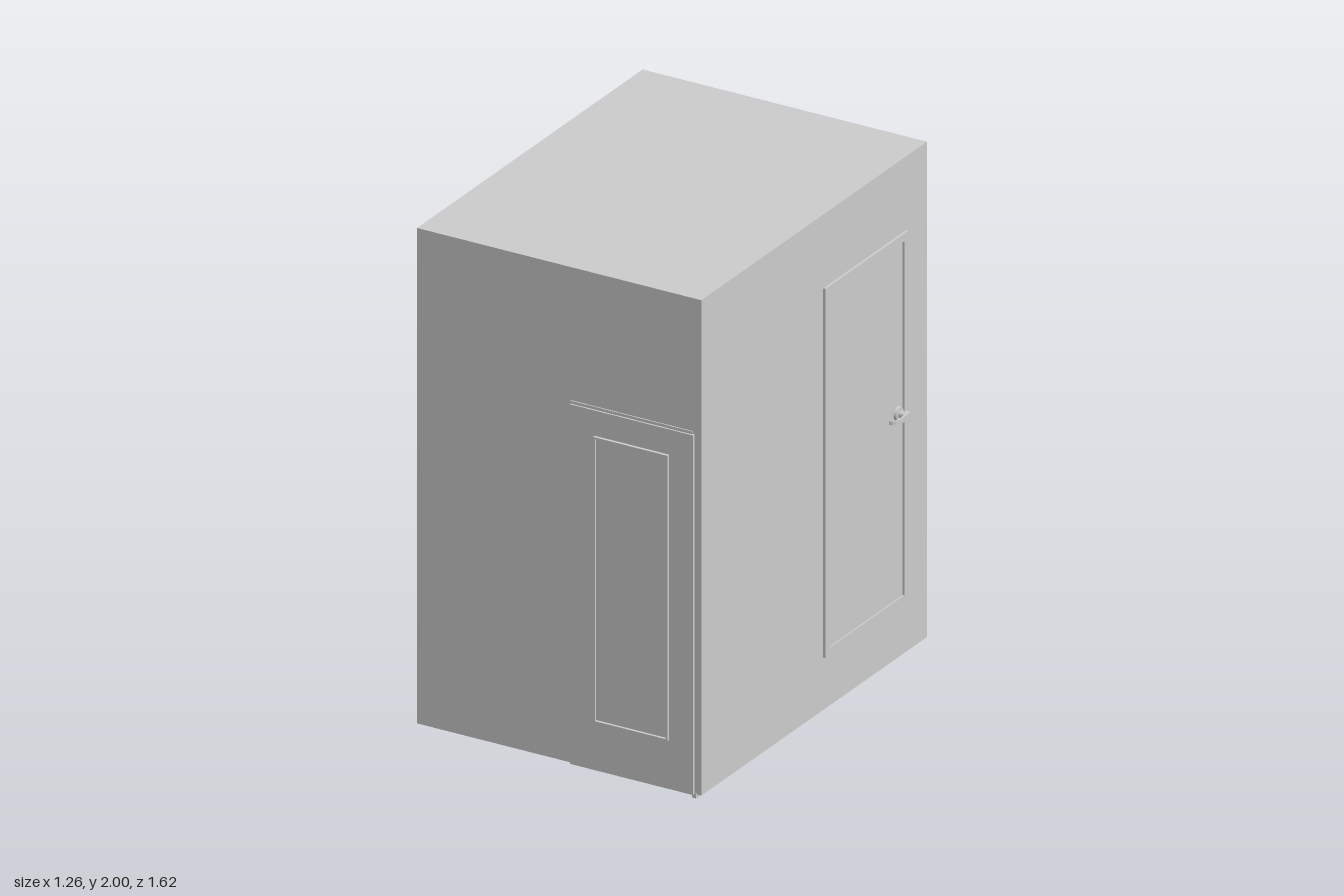
import * as THREE from 'three';

const material = new THREE.MeshStandardMaterial({ color: 0xcccccc });

function add(parent, name, geometry) {
  const mesh = new THREE.Mesh(geometry, material);
  mesh.name = name;
  parent.add(mesh);
  return mesh;
}

// Box given by its lower and upper corners
function box(parent, name, [x0, y0, z0], [x1, y1, z1]) {
  const mesh = add(parent, name, new THREE.BoxGeometry(x1 - x0, y1 - y0, z1 - z0));
  mesh.position.set((x0 + x1) / 2, (y0 + y1) / 2, (z0 + z1) / 2);
  return mesh;
}

// Centred rectangle outline with optional rounded corners
function outline(Type, w, h, r = 0) {
  const s = new Type();
  const x = w / 2, y = h / 2;
  if (!r) return s.setFromPoints([[-x, -y], [x, -y], [x, y], [-x, y]].map(p => new THREE.Vector2(...p)));
  s.absarc(x - r, y - r, r, 0, Math.PI / 2);
  s.absarc(-x + r, y - r, r, Math.PI / 2, Math.PI);
  s.absarc(-x + r, -y + r, r, Math.PI, Math.PI * 1.5);
  s.absarc(x - r, -y + r, r, Math.PI * 1.5, Math.PI * 2);
  s.closePath();
  return s;
}

// Rectangular ring in the xy plane, extruded along +z
function frame(w, h, border, depth) {
  const s = outline(THREE.Shape, w, h);
  s.holes.push(outline(THREE.Path, w - 2 * border, h - 2 * border));
  return new THREE.ExtrudeGeometry(s, { depth, bevelEnabled: false });
}

function plate(w, h, r, depth) {
  return new THREE.ExtrudeGeometry(outline(THREE.Shape, w, h, r), { depth, bevelEnabled: false, curveSegments: 8 });
}

export function createModel() {
  const model = new THREE.Group();
  model.name = 'cabin';

  // Shell with a shallow rim under the floor
  box(model, 'body', [-0.63, 0.025, -0.802], [0.575, 2, 0.788]);
  const rim = add(model, 'floorRim', frame(1.205, 1.59, 0.02, 0.01));
  rim.rotation.x = -Math.PI / 2;
  rim.position.set(-0.0275, 0.015, -0.007);

  // Sliding door on the front
  const sliding = new THREE.Group();
  sliding.name = 'slidingDoor';
  model.add(sliding);
  box(sliding, 'doorLeaf', [0.025, 0.015, 0.78], [0.546, 1.456, 0.8]);
  box(sliding, 'topRail', [0.022, 1.456, 0.78], [0.54, 1.467, 0.793]);
  box(sliding, 'floorGuide', [0.537, 0, 0.762], [0.555, 0.02, 0.792]);
  add(sliding, 'windowFrame', frame(0.315, 1.145, 0.008, 0.014)).position.set(0.2875, 0.7825, 0.798);
  box(sliding, 'windowPane', [0.136, 0.22, 0.795], [0.439, 1.347, 0.805]);

  // Hinged door on the side
  const side = new THREE.Group();
  side.name = 'sideDoor';
  side.rotation.y = Math.PI / 2;
  side.position.set(0.575, 0.965, -0.3625);
  model.add(side);
  add(side, 'doorFrame', frame(0.585, 1.48, 0.031, 0.011));
  add(side, 'doorPanel', plate(0.523, 1.418, 0, 0.004));

  // Lever handle: rose, neck and curved lever
  const handle = new THREE.Group();
  handle.name = 'doorHandle';
  handle.position.set(0.577, 0.998, -0.588);
  model.add(handle);
  const rose = add(handle, 'rose', new THREE.CylinderGeometry(0.026, 0.028, 0.013, 32));
  rose.rotation.z = -Math.PI / 2;
  rose.position.x = 0.0065;
  const neck = add(handle, 'neck', new THREE.CylinderGeometry(0.011, 0.014, 0.04, 24));
  neck.rotation.z = -Math.PI / 2;
  neck.position.x = 0.028;
  const leverShape = new THREE.Shape();
  leverShape.moveTo(0.03, -0.016);
  leverShape.lineTo(0.05, -0.016);
  leverShape.lineTo(0.05, 0.04);
  leverShape.quadraticCurveTo(0.048, 0.086, 0.018, 0.088);
  leverShape.quadraticCurveTo(0.041, 0.078, 0.041, 0.04);
  leverShape.quadraticCurveTo(0.042, 0.008, 0.03, 0.004);
  const leverGeometry = new THREE.ExtrudeGeometry(leverShape, { depth: 0.024, bevelEnabled: false, curveSegments: 10 });
  leverGeometry.translate(0, 0, -0.012);
  // Thin the lever towards its tip
  const p = leverGeometry.attributes.position;
  for (let i = 0; i < p.count; i++) p.setZ(i, p.getZ(i) * (1 - 4.5 * Math.max(0, p.getY(i))));
  leverGeometry.computeVertexNormals();
  add(handle, 'lever', leverGeometry).rotation.x = Math.PI / 2;

  // Rounded window on the back: gasket and raised pane
  const rear = new THREE.Group();
  rear.name = 'rearWindow';
  rear.rotation.y = Math.PI;
  rear.position.set(-0.0475, 0.9075, -0.8);
  model.add(rear);
  add(rear, 'gasket', plate(0.765, 0.625, 0.05, 0.008));
  add(rear, 'pane', plate(0.715, 0.575, 0.03, 0.012));

  return model;
}
